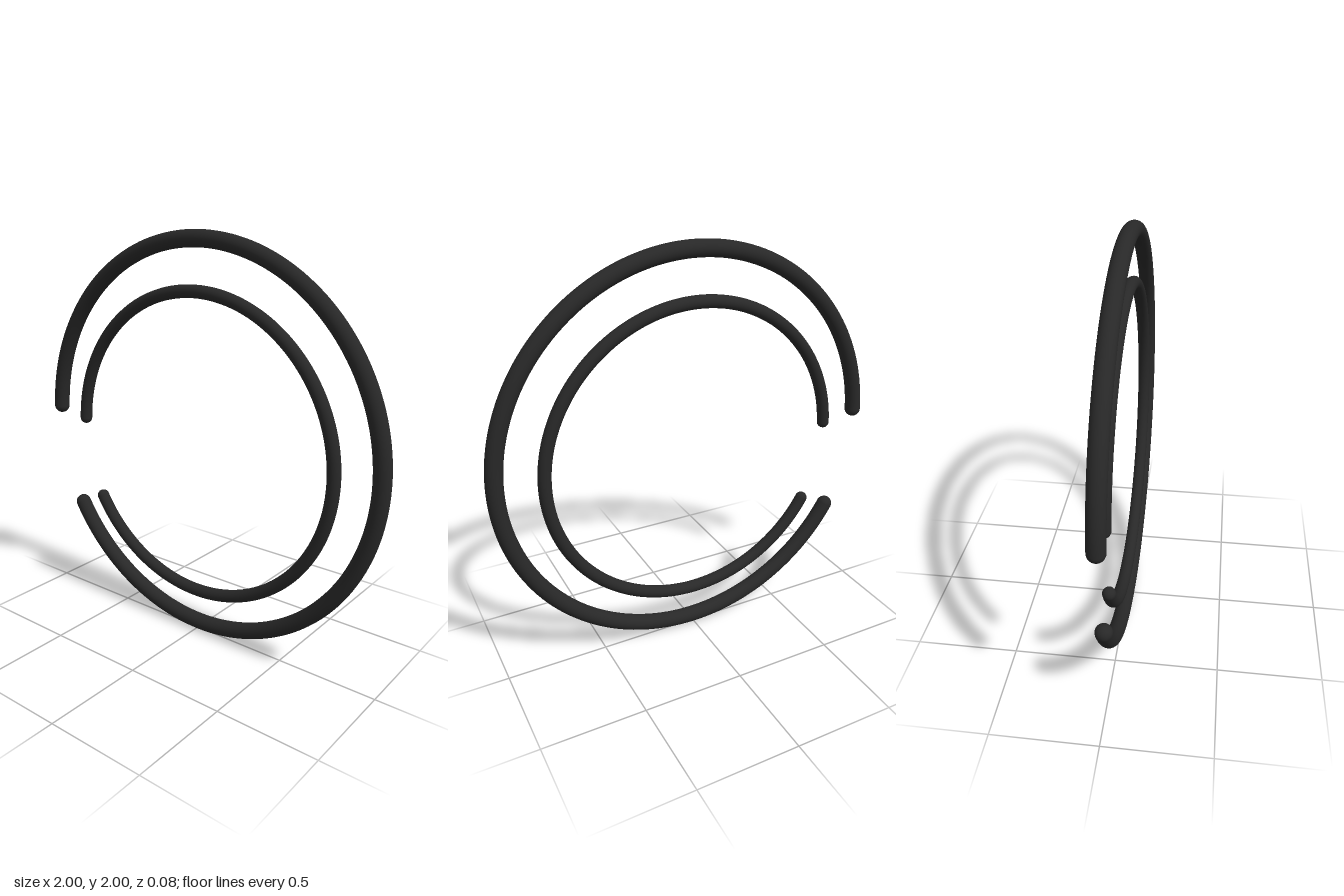
import * as THREE from 'three';

const START = THREE.MathUtils.degToRad(-148.85);
const END = THREE.MathUtils.degToRad(177.4);

// Open ring of round bar with domed ends
function openRing(name, radius, bar, x, y, material) {
  const ring = new THREE.Group();
  ring.name = name;
  ring.position.set(x, y, 0);

  const arc = new THREE.Mesh(new THREE.TorusGeometry(radius, bar, 24, 160, END - START), material);
  arc.name = name + 'Bar';
  arc.rotation.z = START;
  ring.add(arc);

  // Hemisphere at each end, dome pointing along the bar
  for (const [angle, turn, label] of [[START, Math.PI, 'LowerEnd'], [END, 0, 'UpperEnd']]) {
    const cap = new THREE.Mesh(
      new THREE.SphereGeometry(bar, 24, 10, 0, Math.PI * 2, 0, Math.PI / 2), material);
    cap.name = name + label;
    cap.position.set(Math.cos(angle) * radius, Math.sin(angle) * radius, 0);
    cap.rotation.z = angle + turn;
    ring.add(cap);
  }
  return ring;
}

export function createModel() {
  const black = new THREE.MeshStandardMaterial({ color: 0x282828 });
  black.name = 'charcoal black';

  const model = new THREE.Group();
  model.name = 'openRings';
  model.add(openRing('outerRing', 0.96, 0.04, 0, 1, black));
  model.add(openRing('innerRing', 0.755, 0.031, -0.016, 0.969, black));
  return model;
}
